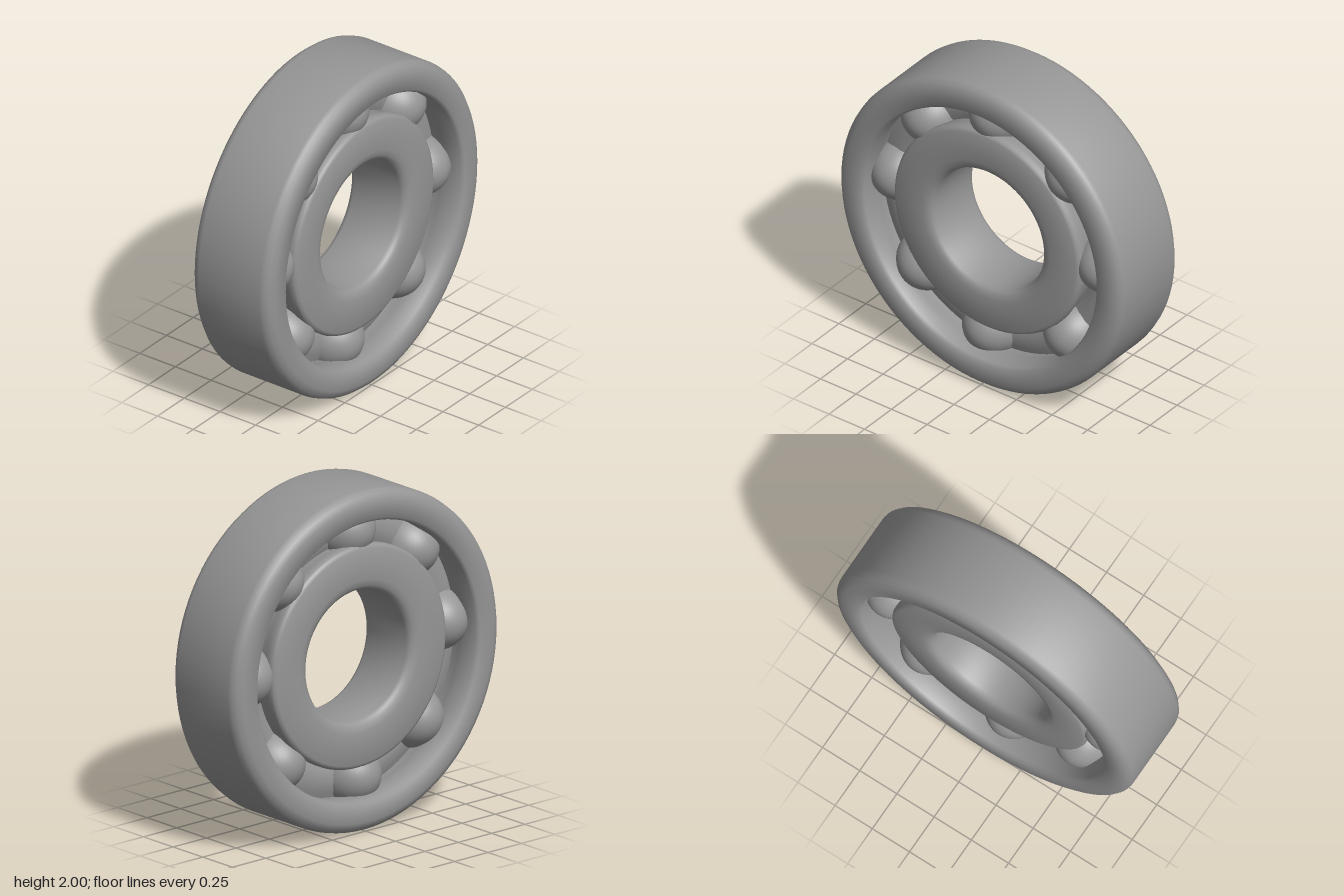
import * as THREE from 'three';
import { toCreasedNormals } from 'three/addons/utils/BufferGeometryUtils.js';

const PITCH = 0.73;   // radius of the circle through the ball centres
const BALL = 0.185;
const BALL_ANGLES = [1, 46.5, 92.5, 134.5, 176.5, 222, 264, 312.5];   // slightly uneven spacing

const steel = new THREE.MeshStandardMaterial({ color: 0x969696 });

// Ring turned around the z axis from a closed, counter-clockwise [radius, z] outline
function ring(name, outline, crease) {
  const pts = [...outline, outline[0]].map(([r, z]) => new THREE.Vector2(r, z));
  const geo = toCreasedNormals(new THREE.LatheGeometry(pts, 96), crease);
  geo.rotateX(Math.PI / 2);
  const mesh = new THREE.Mesh(geo, steel);
  mesh.name = name;
  return mesh;
}

// Shallow ball groove in a cylindrical shoulder; dir +1 cuts outward, -1 inward
function groove(radius, dir, fromZ) {
  const out = [];
  for (let i = 0; i <= 10; i++) {
    const t = -1 + i / 5;
    out.push([radius + dir * 0.02 * (1 - t * t), -t * fromZ]);
  }
  return out;
}

export function createModel() {
  const model = new THREE.Group();
  model.name = 'ballBearing';
  const bearing = new THREE.Group();
  bearing.position.y = 1;
  model.add(bearing);

  // Outer race: rounded outside edges, lightly chamfered mouth
  bearing.add(ring('outerRace', [
    [0.94, -0.275], [0.975, -0.258], [0.994, -0.235], [1, -0.21],
    [1, 0.21], [0.994, 0.235], [0.975, 0.258], [0.94, 0.275],
    [0.835, 0.275], [0.818, 0.255],
    ...groove(0.815, 1, 0.15),
    [0.818, -0.255], [0.835, -0.275],
  ], 0.9));

  // Inner race: narrower than the outer one, with a rounded bore lip
  const innerRace = ring('innerRace', [
    [0.45, -0.205], [0.63, -0.205], [0.648, -0.195], [0.655, -0.18],
    ...groove(0.655, -1, -0.15),
    [0.655, 0.18], [0.648, 0.195], [0.63, 0.205], [0.45, 0.205],
    [0.415, 0.198], [0.393, 0.183], [0.383, 0.16],
    [0.383, -0.16], [0.393, -0.183], [0.415, -0.198],
  ], 0.9);
  innerRace.position.y = 0.012;
  bearing.add(innerRace);

  // Recessed, rounded cage that spaces the balls
  bearing.add(ring('cage', [
    [0.62, -0.05], [0.67, -0.075], [0.73, -0.085], [0.79, -0.075], [0.85, -0.05],
    [0.85, 0.05], [0.79, 0.075], [0.73, 0.085], [0.67, 0.075], [0.62, 0.05],
  ], 0.9));

  // Balls, slightly lengthened along the axle
  const ballGeo = new THREE.SphereGeometry(BALL, 40, 28).scale(1, 1, 1.18);
  BALL_ANGLES.forEach((deg, i) => {
    const a = THREE.MathUtils.degToRad(deg);
    const ball = new THREE.Mesh(ballGeo, steel);
    ball.name = `ball${i + 1}`;
    ball.position.set(Math.cos(a) * PITCH, Math.sin(a) * PITCH, 0);
    bearing.add(ball);
  });
  return model;
}
